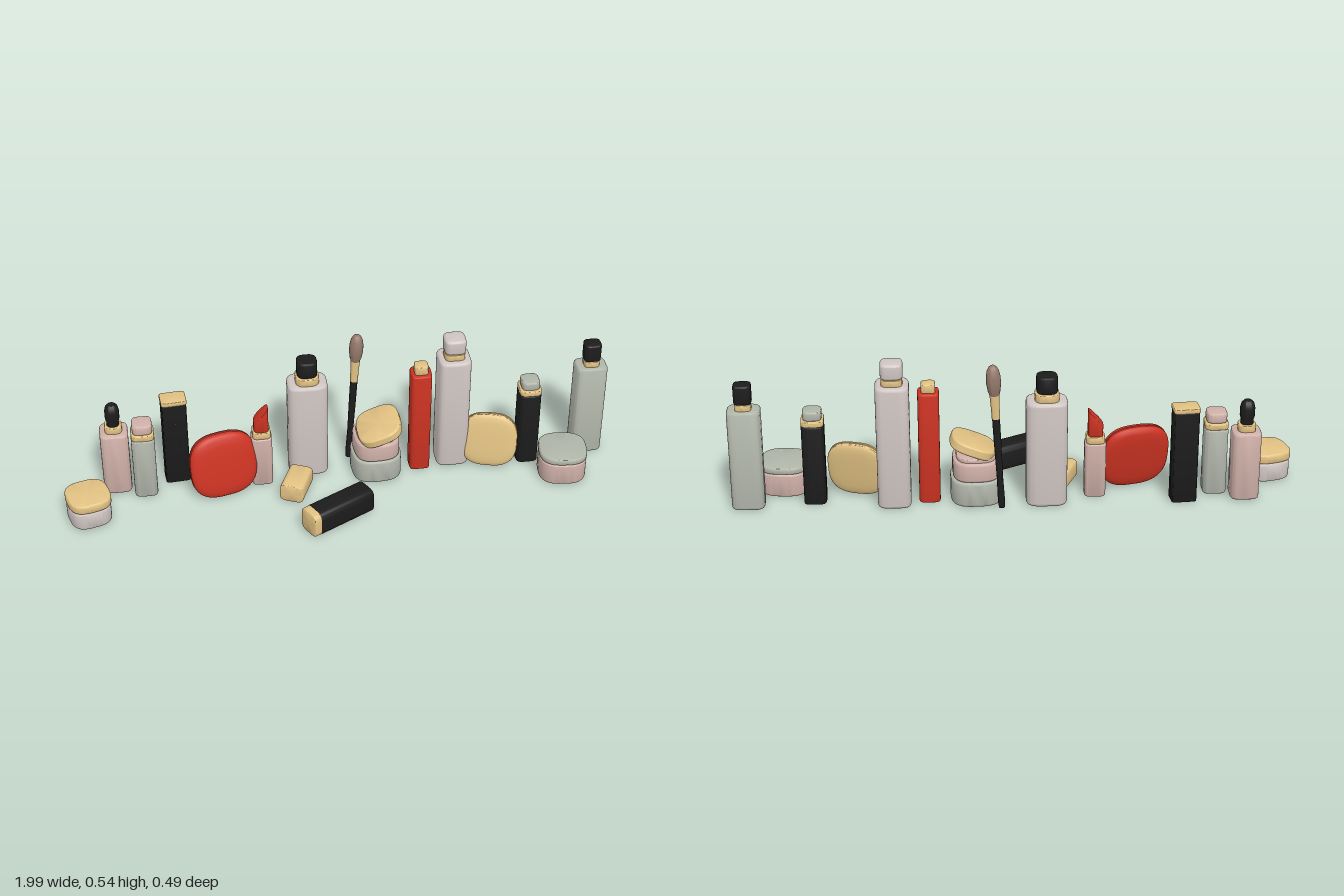
import * as THREE from 'three';
import { mergeVertices, toCreasedNormals } from 'three/addons/utils/BufferGeometryUtils.js';

const C = {
  white: 0xcfc5c2, pink: 0xcfb0a8, sage: 0xb0b5a9, black: 0x1c1c1c,
  red: 0xcc3322, gold: 0xe2c283, bristle: 0x94786a,
};
const mats = {};
for (const k in C) mats[k] = new THREE.MeshStandardMaterial({ color: C[k] });

// Revolved profile (radius 0..1, height) whose round section becomes a w x d superellipse
function squircle(profile, w, d, n) {
  let g = new THREE.LatheGeometry(profile.map(([r, y]) => new THREE.Vector2(r, y)), 48);
  const p = g.attributes.position;
  const f = (v) => Math.sign(v) * Math.pow(Math.abs(v), 2 / n);
  for (let i = 0; i < p.count; i++) {
    const x = p.getX(i), z = p.getZ(i), r = Math.hypot(x, z);
    if (r < 1e-6) { p.setXYZ(i, 0, p.getY(i), 0); continue; }
    p.setX(i, f(x / r) * r * w / 2);
    p.setZ(i, f(z / r) * r * d / 2);
  }
  g.deleteAttribute('uv');
  g.deleteAttribute('normal');
  g = mergeVertices(g, 1e-5);
  return toCreasedNormals(g, 0.6);
}

// Closed block profile with rounded bottom and top edges of radius e
function rounded(w, y0, y1, e) {
  const k = e / (w / 2), pts = [[0, y0]];
  for (let i = 0; i <= 4; i++) {
    const a = i * Math.PI / 8;
    pts.push([1 - k + k * Math.sin(a), y0 + e - e * Math.cos(a)]);
  }
  for (let i = 0; i <= 4; i++) {
    const a = i * Math.PI / 8;
    pts.push([1 - k + k * Math.cos(a), y1 - e + e * Math.sin(a)]);
  }
  pts.push([0, y1]);
  return pts;
}

function addMesh(parent, name, geometry, color) {
  const m = new THREE.Mesh(geometry, mats[color]);
  m.name = name;
  parent.add(m);
  return m;
}

export function createModel() {
  const root = new THREE.Group();
  root.name = 'cosmeticsSet';

  // parts: [name, color, width, depth, y0, y1, squareness, edge radius]
  function item(name, x, y, z, parts, yaw = 0, pitch = 0, roll = 0) {
    const g = new THREE.Group();
    g.name = name;
    g.position.set(x, y, z);
    g.rotation.set(pitch, yaw, roll, 'YXZ');
    for (const [part, color, w, d, y0, y1, n = 4.5, e = 0.005] of parts)
      addMesh(g, part, squircle(rounded(w, y0, y1, e), w, d, n), color);
    root.add(g);
    return g;
  }

  // Cream jars
  item('leftJar', -0.917, 0, 0, [
    ['jarBody', 'white', 0.15, 0.15, 0, 0.072, 3, 0.01],
    ['jarLid', 'gold', 0.155, 0.155, 0.072, 0.108, 3, 0.008]], 0.27);
  item('rightJar', 0.818, 0, -0.025, [
    ['jarBody', 'pink', 0.174, 0.174, 0, 0.087, 2.8, 0.008],
    ['jarLid', 'sage', 0.176, 0.176, 0.087, 0.112, 2.8, 0.007]], -0.1);
  item('stackedJars', 0.14, 0, -0.135, [
    ['lowerJar', 'sage', 0.18, 0.18, 0, 0.093, 3, 0.01],
    ['upperJar', 'pink', 0.165, 0.175, 0.093, 0.165, 3, 0.01],
    ['jarNeck', 'pink', 0.14, 0.15, 0.16, 0.178, 3, 0.004]], 0.05);
  item('tiltedLid', 0.15, 0.2, -0.125, [
    ['lid', 'gold', 0.165, 0.18, -0.018, 0.018, 3, 0.008]], 0, 0.08, 0.36);

  // Bottles and tubes
  const dropper = item('dropperBottle', -0.808, 0, -0.165, [
    ['bottleBody', 'pink', 0.102, 0.102, 0, 0.255, 4.5, 0.01],
    ['collar', 'gold', 0.062, 0.062, 0.253, 0.28, 3, 0.003]]);
  addMesh(dropper, 'dropperBulb', squircle([[0, 0.278], [0.85, 0.278], [0.85, 0.295], [1, 0.31],
    [1, 0.34], [0.85, 0.356], [0.5, 0.366], [0, 0.369]], 0.052, 0.052, 2.3), 'black');

  item('smallTube', -0.707, 0, -0.122, [
    ['tubeBody', 'sage', 0.084, 0.084, 0, 0.25, 4.5, 0.008],
    ['collar', 'gold', 0.083, 0.083, 0.25, 0.273, 4.5, 0.004],
    ['cap', 'pink', 0.072, 0.072, 0.273, 0.311, 4, 0.007]]);
  item('slimCase', -0.589, 0, -0.187, [
    ['caseBody', 'black', 0.09, 0.066, 0, 0.342, 9, 0.003],
    ['caseTop', 'gold', 0.093, 0.07, 0.342, 0.359, 9, 0.003]], 0.08);
  item('roundBottle', -0.106, 0, -0.178, [
    ['bottleBody', 'white', 0.145, 0.113, 0, 0.393, 3.8, 0.013],
    ['collar', 'gold', 0.085, 0.085, 0.39, 0.42, 3, 0.003],
    ['cap', 'black', 0.074, 0.074, 0.42, 0.483, 3, 0.008]]);
  item('redTube', 0.303, 0, -0.142, [
    ['tubeBody', 'red', 0.075, 0.078, 0, 0.415, 5, 0.005],
    ['cap', 'gold', 0.05, 0.05, 0.413, 0.447, 4, 0.004]]);
  item('tallBottle', 0.427, 0, -0.166, [
    ['bottleBody', 'white', 0.118, 0.121, 0, 0.457, 4.5, 0.012],
    ['collar', 'gold', 0.074, 0.074, 0.455, 0.48, 4, 0.002],
    ['cap', 'white', 0.078, 0.078, 0.48, 0.538, 4, 0.01]]);
  item('darkBottle', 0.706, 0, -0.134, [
    ['bottleBody', 'black', 0.08, 0.088, 0, 0.298, 4.5, 0.004],
    ['collar', 'gold', 0.08, 0.086, 0.298, 0.318, 4.5, 0.003],
    ['cap', 'sage', 0.066, 0.07, 0.318, 0.351, 4, 0.006]]);
  item('sageBottle', 0.938, 0, -0.166, [
    ['bottleBody', 'sage', 0.116, 0.092, 0, 0.373, 4.5, 0.011],
    ['collar', 'gold', 0.056, 0.056, 0.37, 0.395, 4, 0.002],
    ['cap', 'black', 0.062, 0.057, 0.395, 0.465, 4, 0.007]]);

  // Lipstick with a slanted tip
  const lipstick = item('lipstick', -0.281, 0, -0.128, [
    ['lipstickBase', 'pink', 0.076, 0.072, 0, 0.204, 4.5, 0.005],
    ['collar', 'gold', 0.066, 0.064, 0.204, 0.23, 4.5, 0.003]]);
  let bullet = squircle(rounded(0.054, 0.225, 0.3, 0.003), 0.054, 0.052, 3);
  const bp = bullet.attributes.position;
  for (let i = 0; i < bp.count; i++)
    if (bp.getY(i) > 0.28) bp.setY(i, bp.getY(i) + bp.getX(i) * 1.05);
  bullet = toCreasedNormals(bullet, 0.6);
  addMesh(lipstick, 'lipstickBullet', bullet, 'red');

  // Lying lipstick cap and tube
  item('lyingCap', -0.165, 0.035, -0.04, [
    ['lipstickCap', 'gold', 0.07, 0.088, -0.066, 0.066, 4.5, 0.004]], 1.16, 0, -Math.PI / 2);
  item('lyingTube', -0.038, 0.0475, 0.142, [
    ['tubeEnd', 'gold', 0.094, 0.088, -0.13, -0.095, 4.5, 0.006],
    ['tubeBody', 'black', 0.095, 0.09, -0.105, 0.13, 4.5, 0.005]], 0.5, 0, -Math.PI / 2);

  // Domed compacts standing on edge, with a seam around the rim
  function compact(name, x, y, z, size, t, color, yaw, lean) {
    const half = [[0.972, 0.04], [0.995, 0.1], [1, 0.25], [0.985, 0.45],
      [0.94, 0.66], [0.84, 0.83], [0.65, 0.94], [0.35, 0.99], [0, 1]];
    const profile = [...half.map(([r, h]) => [r, -h * t / 2]).reverse(),
      ...half.map(([r, h]) => [r, h * t / 2])];
    const g = item(name, x, y, z, [], yaw, lean);
    addMesh(g, 'compactShell', squircle(profile, size[0], size[1], 2.8).rotateX(Math.PI / 2), color);
  }
  compact('redCompact', -0.426, 0.124, -0.08, [0.25, 0.25], 0.062, 'red', 0.25, -0.2);
  compact('goldCompact', 0.56, 0.109, -0.11, [0.208, 0.213], 0.044, 'gold', -0.27, -0.17);

  // Makeup brush leaning slightly
  const brush = item('makeupBrush', 0.052, 0, -0.223, [], 0, 0, -0.057);
  const brushPart = (name, color, pts) => addMesh(brush, name, squircle(pts, 2, 2, 2), color);
  brushPart('brushHandle', 'black', [[0, 0], [0.01, 0], [0.0125, 0.02], [0.011, 0.12],
    [0.013, 0.26], [0.0135, 0.345], [0, 0.345]]);
  brushPart('brushFerrule', 'gold', [[0, 0.343], [0.0145, 0.343], [0.015, 0.38], [0.017, 0.432], [0, 0.432]]);
  brushPart('brushBristles', 'bristle', [[0, 0.428], [0.016, 0.428], [0.022, 0.448], [0.0255, 0.475],
    [0.025, 0.5], [0.021, 0.522], [0.013, 0.536], [0.006, 0.541], [0, 0.542]]);

  return root;
}
